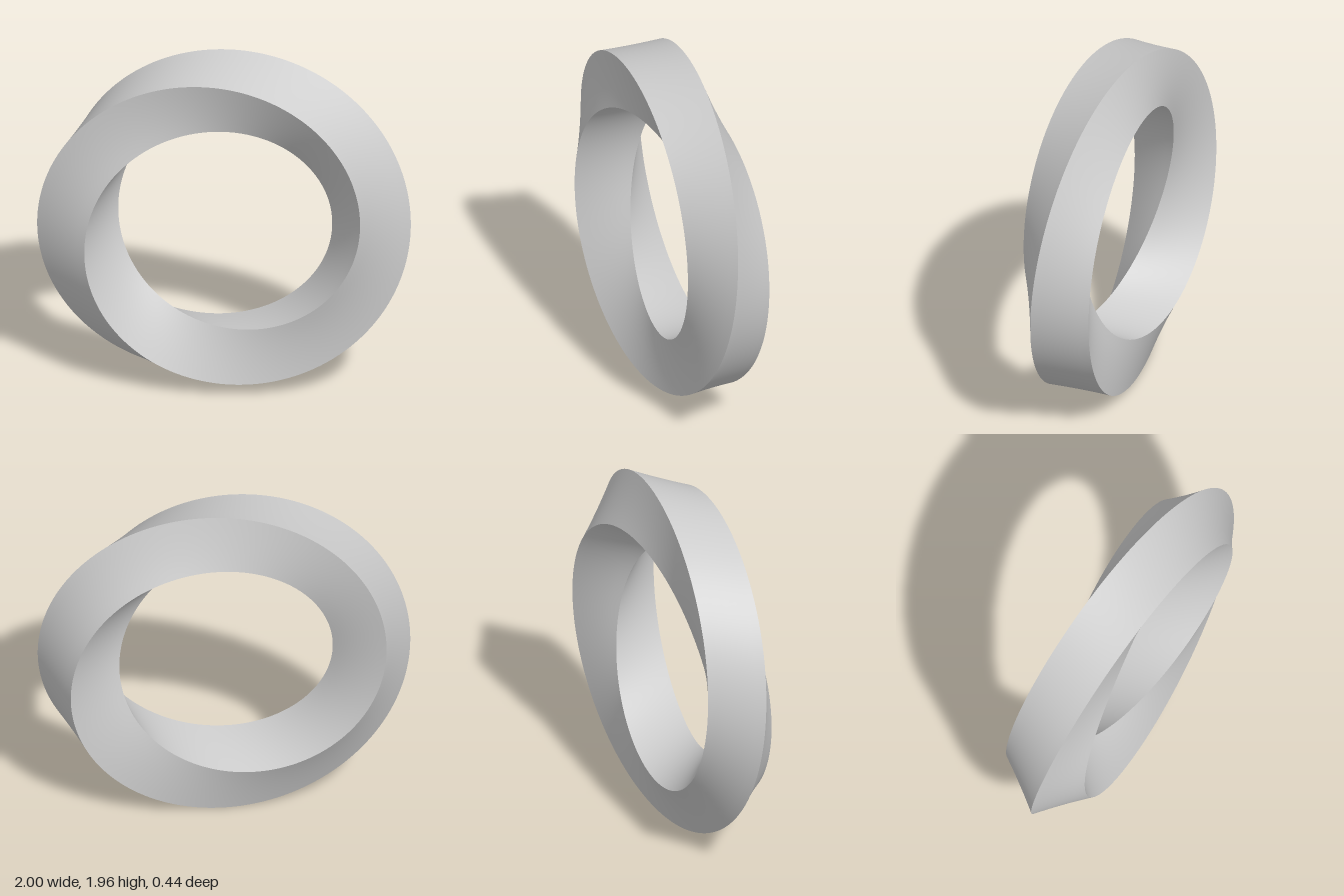
import * as THREE from 'three';

const RING = 0.786;      // radius of the ring's centre line
const CORNER = 0.221;    // centre of the square section to its corners
const START = THREE.MathUtils.degToRad(14.5);
const AROUND = 480;      // steps over two full turns
const ACROSS = 6;        // steps across one flat of the section

// A corner of the square section, which makes half a turn per lap
function corner(theta, k, target) {
  const phi = START - theta / 2 + k * Math.PI / 2;
  const rad = RING + CORNER * Math.cos(phi);
  return target.set(rad * Math.cos(theta), rad * Math.sin(theta), CORNER * Math.sin(phi));
}

// One flat band: after a lap it continues on the opposite flat, so it closes after two laps
function bandGeometry(k) {
  const positions = [], index = [];
  const a = new THREE.Vector3(), b = new THREE.Vector3(), p = new THREE.Vector3();
  const row = ACROSS + 1;
  for (let i = 0; i < AROUND; i++) {
    const theta = i / AROUND * Math.PI * 4;
    corner(theta, k, a);
    corner(theta, k + 1, b);
    for (let j = 0; j <= ACROSS; j++) {
      p.lerpVectors(a, b, j / ACROSS);
      positions.push(p.x, p.y, p.z);
    }
    const next = (i + 1) % AROUND;
    for (let j = 0; j < ACROSS; j++) {
      const v = i * row + j, w = next * row + j;
      index.push(v, w, v + 1, w, w + 1, v + 1);
    }
  }
  const geometry = new THREE.BufferGeometry();
  geometry.setAttribute('position', new THREE.Float32BufferAttribute(positions, 3));
  geometry.setIndex(index);
  geometry.computeVertexNormals();
  return geometry;
}

export function createModel() {
  const model = new THREE.Group();
  model.name = 'twistedRing';
  const material = new THREE.MeshStandardMaterial({ color: 0xcccccc });

  // Two interlocking bands make up the four flats
  ['firstBand', 'secondBand'].forEach((name, k) => {
    const band = new THREE.Mesh(bandGeometry(k), material);
    band.name = name;
    band.position.y = 0.98;
    model.add(band);
  });
  return model;
}
